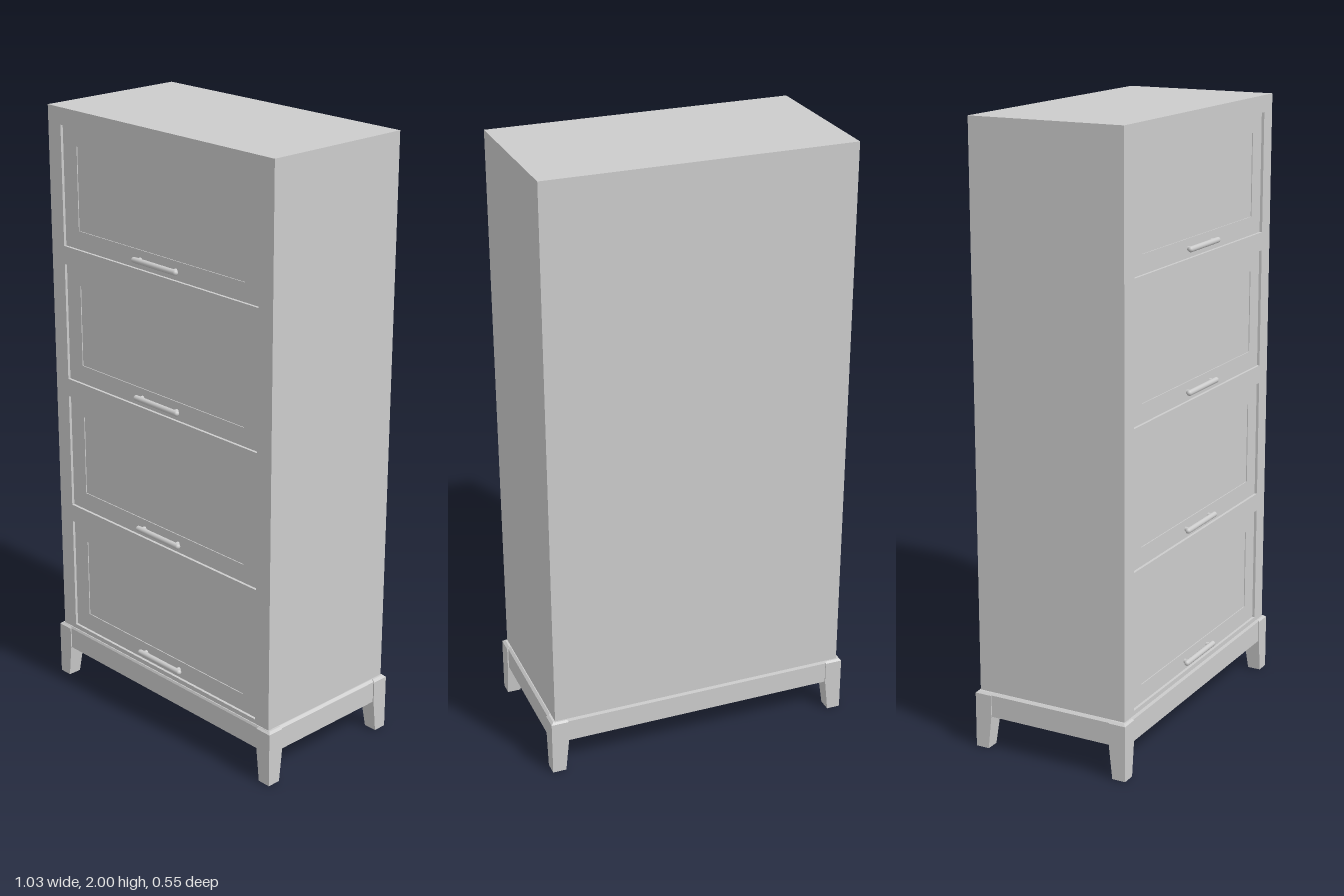
import * as THREE from 'three';

const material = new THREE.MeshStandardMaterial({ color: 0xcccccc });

function add(parent, name, geometry, x = 0, y = 0, z = 0) {
  const mesh = new THREE.Mesh(geometry, material);
  mesh.name = name;
  mesh.position.set(x, y, z);
  parent.add(mesh);
  return mesh;
}

// Rectangle centred on x = 0, as a shape or a hole
function rect(Type, halfWidth, y0, y1) {
  const r = new Type();
  r.moveTo(-halfWidth, y0);
  r.lineTo(halfWidth, y0);
  r.lineTo(halfWidth, y1);
  r.lineTo(-halfWidth, y1);
  r.closePath();
  return r;
}

function extrude(shape, depth) {
  return new THREE.ExtrudeGeometry(shape, { depth, bevelEnabled: false });
}

// Box from y0 to y1 with its own half sizes and centre at each end
function taper(y0, y1, bottom, top) {
  const g = new THREE.BoxGeometry(2, 1, 2).toNonIndexed();
  const p = g.attributes.position;
  for (let i = 0; i < p.count; i++) {
    const up = p.getY(i) > 0;
    const s = up ? top : bottom;
    p.setXYZ(i, p.getX(i) * s.hx + (s.x || 0), up ? y1 : y0, p.getZ(i) * s.hz + (s.z || 0));
  }
  g.computeVertexNormals();
  return g;
}

export function createModel() {
  const model = new THREE.Group();
  model.name = 'cabinet';
  const W = 0.5, BACK = -0.263, FRONT = 0.257, CORE = 0.235;
  const OPEN_W = 0.44, OPEN_H = 0.39, PITCH = 0.45, FIRST = 0.205, COUNT = 4;

  // Carcass behind the face frame
  add(model, 'carcass', new THREE.BoxGeometry(2 * W, 1.815, CORE - BACK), 0, 1.0925, (CORE + BACK) / 2);

  // Face frame with one opening for each door
  const frame = rect(THREE.Shape, W, 0.185, 2);
  for (let i = 0; i < COUNT; i++) {
    const y = FIRST + i * PITCH;
    frame.holes.push(rect(THREE.Path, OPEN_W, y, y + OPEN_H));
  }
  add(model, 'faceFrame', extrude(frame, FRONT - CORE), 0, 0, CORE);

  // Doors set back in the openings, each with a sunk panel and a bar pull
  for (let i = 0; i < COUNT; i++) {
    const door = new THREE.Group();
    door.name = 'door' + (i + 1);
    door.position.set(0, FIRST + i * PITCH, CORE);
    model.add(door);

    const rails = rect(THREE.Shape, OPEN_W, 0, OPEN_H);
    rails.holes.push(rect(THREE.Path, OPEN_W - 0.065, 0.06, OPEN_H - 0.06));
    add(door, 'doorFrame', extrude(rails, 0.013), 0, 0, 0);
    add(door, 'doorPanel', new THREE.BoxGeometry(0.76, 0.28, 0.01), 0, OPEN_H / 2, 0.005);

    const bar = add(door, 'handleBar', new THREE.CapsuleGeometry(0.009, 0.187, 6, 16), 0, 0.03, 0.029);
    bar.rotation.z = Math.PI / 2;
    for (const s of [-1, 1]) {
      const post = add(door, 'handlePost', new THREE.CylinderGeometry(0.007, 0.007, 0.018, 12), s * 0.08, 0.03, 0.02);
      post.rotation.x = Math.PI / 2;
    }
  }

  // Base, open below: four aprons with a sloped top edge, and tapered corner legs
  const base = new THREE.Group();
  base.name = 'base';
  base.position.z = -0.003;
  model.add(base);
  const BX = 0.515, BZ = 0.27, INSET = 0.004, T = 0.025;

  for (const s of [-1, 1]) {
    const z = s * (BZ - INSET - T / 2), x = s * (BX - INSET - T / 2);
    add(base, 'longApron', taper(0.11, 0.183, { hx: 0.49, hz: T / 2, z }, { hx: 0.49, hz: T / 2, z }));
    add(base, 'shortApron', taper(0.11, 0.183, { hx: T / 2, hz: 0.25, x }, { hx: T / 2, hz: 0.25, x }));
  }
  add(base, 'topMoulding', taper(0.183, 0.19,
    { hx: BX - INSET, hz: BZ - INSET }, { hx: W + 0.003, hz: 0.263 }));

  for (const sx of [-1, 1]) {
    for (const sz of [-1, 1]) {
      const section = (size, inset = 0) => ({
        hx: size / 2, hz: size / 2,
        x: sx * (BX - inset - size / 2), z: sz * (BZ - inset - size / 2),
      });
      add(base, 'leg', taper(0, 0.11, section(0.045), section(0.057)));
      add(base, 'legBlock', taper(0.11, 0.183, section(0.057), section(0.057)));
      add(base, 'legCap', taper(0.183, 0.19, section(0.057), section(0.047, 0.008)));
    }
  }
  return model;
}
